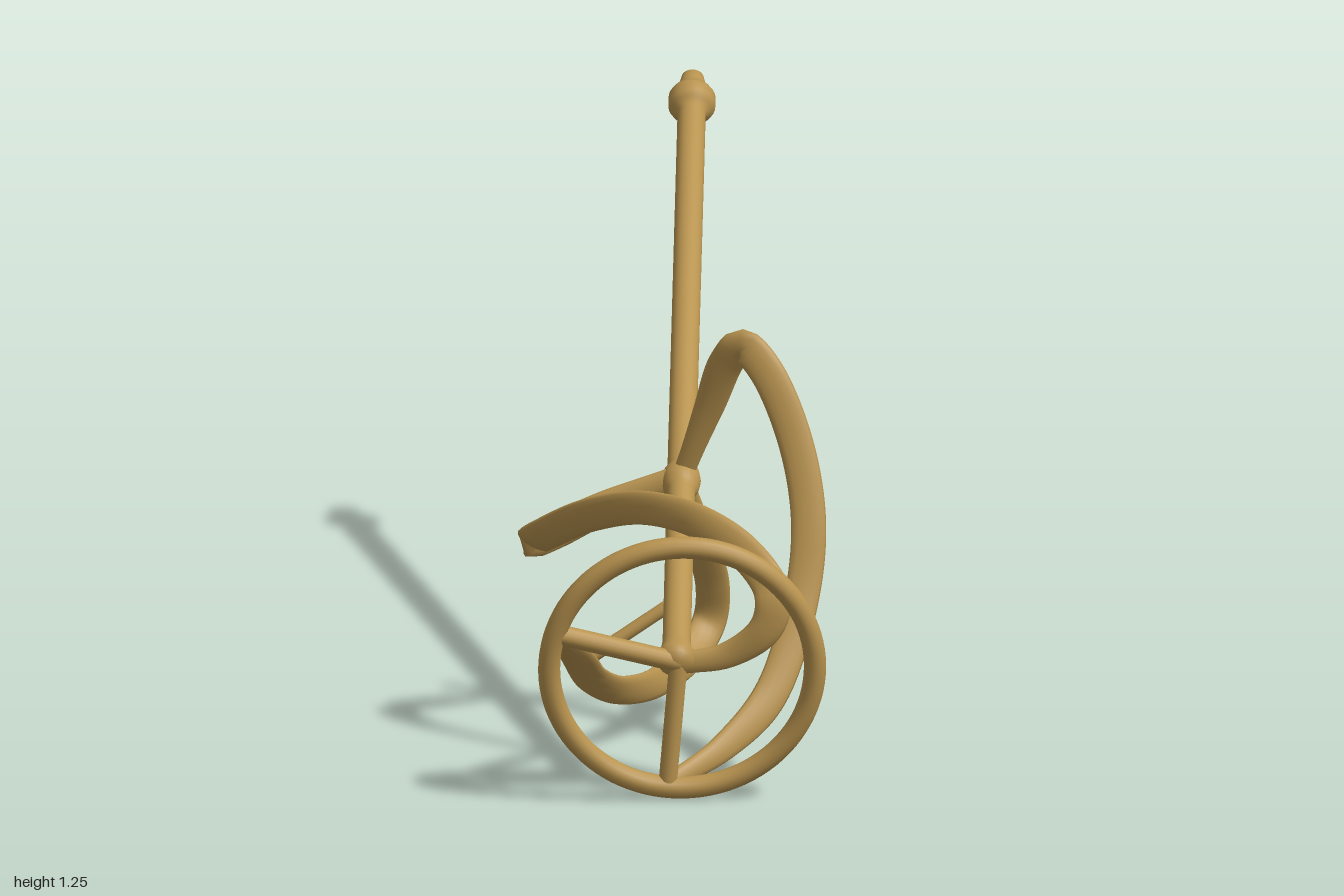
import * as THREE from 'three';

const V = (p) => new THREE.Vector3(...p);

// Flattened elliptical ribbon swept along a path, kept wide across the shaft direction
function ribbon(points, width, thick, rootWidth) {
  const curve = new THREE.CatmullRomCurve3(points.map(V), false, 'centripetal');
  const steps = 110, sides = 14, pos = [], index = [];
  const forward = new THREE.Vector3(0, 0, 1);
  for (let i = 0; i <= steps; i++) {
    const t = i / steps;
    const p = curve.getPointAt(t), T = curve.getTangentAt(t);
    const W = forward.clone().cross(T).normalize();
    const B = T.clone().cross(W);
    const grow = THREE.MathUtils.smoothstep(Math.min(t, 1 - t), 0, 0.2);
    const w = THREE.MathUtils.lerp(rootWidth, width, grow) / 2;
    for (let j = 0; j < sides; j++) {
      const a = (j / sides) * Math.PI * 2;
      const q = p.clone().addScaledVector(W, Math.cos(a) * w).addScaledVector(B, Math.sin(a) * thick / 2);
      pos.push(q.x, q.y, q.z);
      if (i < steps) {
        const k = (j + 1) % sides, r = i * sides, s = r + sides;
        index.push(r + j, r + k, s + j, r + k, s + k, s + j);
      }
    }
  }
  const geo = new THREE.BufferGeometry();
  geo.setAttribute('position', new THREE.Float32BufferAttribute(pos, 3));
  geo.setIndex(index);
  geo.computeVertexNormals();
  return geo;
}

export function createModel() {
  const model = new THREE.Group();
  model.name = 'mixingPaddle';
  const brass = new THREE.MeshStandardMaterial({ color: 0xb8934f });
  brass.name = 'brass';

  const add = (name, geo) => {
    const mesh = new THREE.Mesh(geo, brass);
    mesh.name = name;
    model.add(mesh);
    return mesh;
  };
  const rod = (name, a, b, r) => add(name, new THREE.TubeGeometry(new THREE.LineCurve3(V(a), V(b)), 4, r, 14));

  // Shaft with lower hub, blade collar, and drive end in one turned profile
  const bottom = V([0.01, 0.33, 0.87]), top = V([0.01, 1.23, -0.985]);
  const profile = [
    [0, -0.012], [0.025, -0.008], [0.042, 0.008], [0.045, 0.03], [0.036, 0.055], [0.033, 0.08],
    [0.033, 0.605], [0.042, 0.62], [0.046, 0.645], [0.042, 0.67], [0.033, 0.685],
    [0.033, 1.93], [0.047, 1.94], [0.055, 1.955], [0.055, 1.985], [0.047, 2.0],
    [0.033, 2.008], [0.031, 2.03], [0.026, 2.055], [0.014, 2.068], [0, 2.07],
  ].map(([r, y]) => new THREE.Vector2(r, y));
  const shaft = add('shaft', new THREE.LatheGeometry(profile, 28));
  shaft.position.copy(bottom);
  shaft.quaternion.setFromUnitVectors(new THREE.Vector3(0, 1, 0), top.clone().sub(bottom).normalize());

  // Tilted guard ring
  const ringPoints = [];
  for (let i = 0; i < 24; i++) {
    const a = (i / 24) * Math.PI * 2, x = 0.31 * Math.cos(a), y = 0.309 * Math.sin(a);
    ringPoints.push(new THREE.Vector3(0.025 + x, 0.335 + y, 0.907 + 0.2 * y - 0.077 * x));
  }
  add('guardRing', new THREE.TubeGeometry(new THREE.CatmullRomCurve3(ringPoints, true), 96, 0.026, 14, true));

  // Ring spokes and the small brace
  rod('sideSpoke', [0.015, 0.335, 0.86], [-0.265, 0.425, 0.945], 0.024);
  rod('lowerSpoke', [0.015, 0.33, 0.86], [-0.01, 0.035, 0.848], 0.022);
  rod('brace', [0, 0.425, 0.67], [-0.19, 0.3, 0.695], 0.016);

  // Three spiral blades, from the upper collar to the ring and hub
  add('upperBlade', ribbon([
    [0.01, 0.625, 0.29], [-0.15, 0.56, 0.3], [-0.29, 0.49, 0.31], [-0.335, 0.475, 0.33],
    [-0.3, 0.515, 0.4], [-0.2, 0.59, 0.51], [-0.07, 0.64, 0.62], [0.06, 0.635, 0.72],
    [0.17, 0.58, 0.79], [0.235, 0.5, 0.86], [0.22, 0.42, 0.865], [0.13, 0.35, 0.85], [0.02, 0.33, 0.85],
  ], 0.085, 0.03, 0.055));
  add('tallBlade', ribbon([
    [0.015, 0.63, 0.29], [0.075, 0.8, 0.33], [0.12, 0.93, 0.375], [0.155, 0.972, 0.4],
    [0.21, 0.92, 0.425], [0.28, 0.76, 0.465], [0.312, 0.58, 0.515], [0.295, 0.4, 0.57],
    [0.225, 0.2, 0.67], [0.12, 0.1, 0.755], [0.0, 0.04, 0.845],
  ], 0.082, 0.03, 0.05));
  add('lowerBlade', ribbon([
    [0.01, 0.625, 0.29], [0.05, 0.46, 0.215], [0.08, 0.31, 0.13], [0.072, 0.22, 0.108],
    [0.03, 0.16, 0.18], [-0.05, 0.13, 0.32], [-0.13, 0.155, 0.47], [-0.19, 0.225, 0.62],
    [-0.22, 0.31, 0.75], [-0.262, 0.415, 0.935],
  ], 0.08, 0.03, 0.05));

  return model;
}
